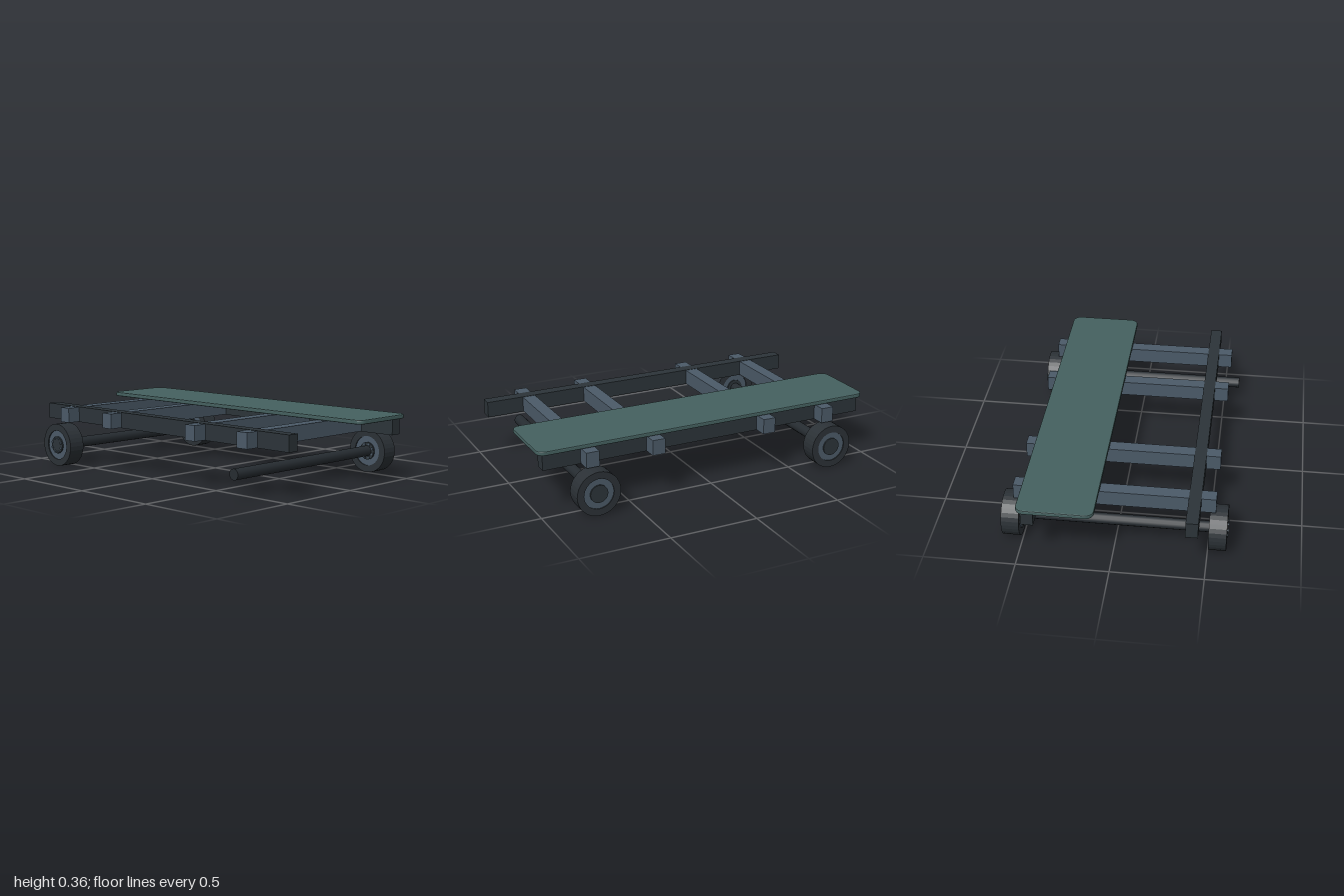
import * as THREE from 'three';

const paint = (name, color) => {
  const m = new THREE.MeshStandardMaterial({ color });
  m.name = name;
  return m;
};

export function createModel() {
  const steel = paint('blue grey steel', 0x4b5a68);
  const dark = paint('dark frame', 0x2c3439);
  const rubber = paint('rubber', 0x2b3136);
  const axleMat = paint('axle black', 0x262c31);
  const green = paint('deck green', 0x456160);
  const model = new THREE.Group();
  model.name = 'flatCart';

  const add = (parent, name, geometry, material, x = 0, y = 0, z = 0) => {
    const mesh = new THREE.Mesh(geometry, material);
    mesh.name = name;
    mesh.position.set(x, y, z);
    parent.add(mesh);
    return mesh;
  };
  // Cylinder lying along z
  const rod = (r, len, sides) => new THREE.CylinderGeometry(r, r, len, sides).rotateX(Math.PI / 2);

  // Long side rails, a hair taller than the crossbeams they enclose
  add(model, 'frontRail', new THREE.BoxGeometry(1.94, 0.09, 0.066), dark, 0, 0.296, 0.424);
  add(model, 'backRail', new THREE.BoxGeometry(1.94, 0.09, 0.066), dark, 0, 0.296, -0.432);

  // Crossbeams
  for (const x of [-0.72, -0.34, 0.34, 0.72]) {
    add(model, 'crossbeam', new THREE.BoxGeometry(0.074, 0.086, 1.08), steel, x, 0.296, -0.004);
  }

  // Rounded deck board over the back rail
  const w = 0.994, d = 0.199, r = 0.04;
  const board = new THREE.Shape();
  board.moveTo(-w + r, -d);
  board.absarc(w - r, -d + r, r, -Math.PI / 2, 0);
  board.absarc(w - r, d - r, r, 0, Math.PI / 2);
  board.absarc(-w + r, d - r, r, Math.PI / 2, Math.PI);
  board.absarc(-w + r, -d + r, r, Math.PI, Math.PI * 1.5);
  const deck = new THREE.ExtrudeGeometry(board, {
    depth: 0.012, bevelThickness: 0.006, bevelSize: 0.006, bevelSegments: 2, curveSegments: 6,
  }).rotateX(-Math.PI / 2);
  add(model, 'deckBoard', deck, green, 0, 0.347, -0.285);

  // Axles
  for (const x of [-0.715, 0.715]) add(model, 'axle', rod(0.031, 1.18, 12), axleMat, x, 0.125, 0);

  // Tyre ring with sharp shoulders around an inset rim
  const tyreShape = new THREE.Shape().absarc(0, 0, 0.124, 0, Math.PI * 2);
  tyreShape.holes.push(new THREE.Path().absarc(0, 0, 0.085, 0, Math.PI * 2, true));
  const tyre = new THREE.ExtrudeGeometry(tyreShape, { depth: 0.096, bevelEnabled: false, curveSegments: 16 })
    .translate(0, 0, -0.048);

  // Wheels: the front left one is absent, bolts always face forward
  for (const [x, z] of [[-0.715, 0.552], [-0.715, -0.556], [0.715, -0.556]]) {
    const wheel = new THREE.Group();
    wheel.name = 'wheel';
    wheel.position.set(x, 0.125, z);
    model.add(wheel);
    add(wheel, 'tyre', tyre, rubber);
    add(wheel, 'rim', rod(0.086, 0.084, 32), steel);
    add(wheel, 'hubCap', rod(0.05, 0.1, 24), dark);
    for (let i = 0; i < 8; i++) {
      const a = (i + 0.5) * Math.PI / 4;
      add(wheel, 'bolt', rod(0.007, 0.008, 6), steel, 0.041 * Math.cos(a), 0.041 * Math.sin(a), 0.052);
    }
  }
  return model;
}
